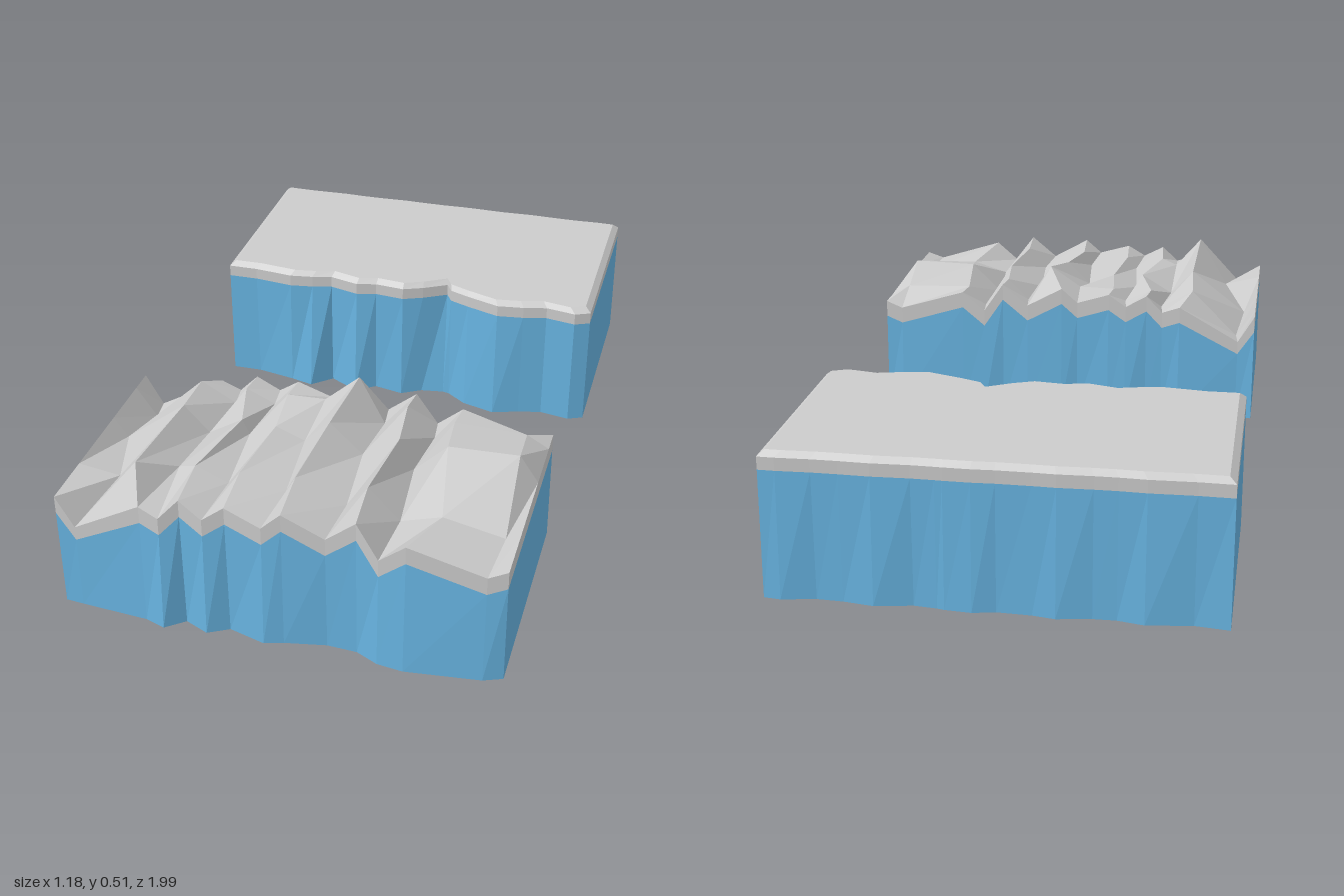
import * as THREE from 'three';

const ICE = 0x67b3e0, SNOW = 0xcccccc;

// collects quads and makes one faceted mesh
function facetMesh(name, color, fill) {
  const pos = [];
  const quad = (a, b, c, d) => pos.push(...a, ...b, ...c, ...a, ...c, ...d);
  fill(quad);
  const geo = new THREE.BufferGeometry();
  geo.setAttribute('position', new THREE.Float32BufferAttribute(pos, 3));
  geo.computeVertexNormals();
  const mesh = new THREE.Mesh(geo, new THREE.MeshStandardMaterial({ color, flatShading: true }));
  mesh.name = name;
  return mesh;
}

// a layer has a front edge and a back edge, both running left to right
const layer = (xs, y, front, back) => ({
  front: xs.map((x, i) => [x, y(i), front(i)]),
  back: xs.map((x, i) => [x, y(i), back(i)]),
});

// wall around the block between two layers
function wall(quad, lo, hi) {
  const ring = l => [...l.front, ...[...l.back].reverse()];
  const a = ring(lo), b = ring(hi);
  a.forEach((p, i) => {
    const j = (i + 1) % a.length;
    quad(p, a[j], b[j], b[i]);
  });
}

// horizontal strip between two edges, facing up
function strip(quad, front, back) {
  for (let i = 0; i < front.length - 1; i++) quad(front[i], front[i + 1], back[i + 1], back[i]);
}

// gentle waves along the rear face
const wave = x => 0.009 * (1 + Math.cos((x + 0.4) * 26.7));

function jaggedBlock() {
  const g = new THREE.Group();
  g.name = 'jaggedIceBlock';
  const xs = [-0.59, -0.54, -0.355, -0.3, -0.25, -0.185, -0.13, -0.03, 0.02, 0.13, 0.21, 0.27, 0.34, 0.54, 0.59];
  const ys = [0.385, 0.3, 0.405, 0.385, 0.437, 0.4, 0.437, 0.405, 0.45, 0.39, 0.455, 0.367, 0.425, 0.365, 0.385];
  const zs = [0.955, 0.96, 0.975, 0.995, 0.955, 0.985, 0.955, 0.985, 0.97, 0.95, 0.955, 0.985, 0.995, 0.975, 0.955];
  const front = i => 0.955 + (zs[i] - 0.955) * 0.5;
  const back = i => 0.343 - wave(xs[i]) * 0.3;
  const base = layer(xs, () => 0.05, i => zs[i], i => 0.343 - wave(xs[i]));
  const iceTop = layer(xs, i => ys[i] - (i === 1 ? 0.04 : 0.05), front, back);
  const rim = layer(xs, i => ys[i], front, back);

  // inner snow rows run front to back, ridges meander sideways
  const inner = [0.8, 0.57, 0.41].map((z, r) => xs.map((x, i) => {
    const edge = i === 0 || i === xs.length - 1;
    const shift = edge ? 0 : [0.012, -0.01, 0.008][r] * (i % 2 ? 1 : -1);
    return [x + shift, ys[i], z];
  }));
  // single peaks and hollows: row, column, position
  [
    [0, 1, -0.48, 0.36, 0.79], [0, 2, -0.385, 0.487, 0.89], [0, 3, -0.31, 0.42, 0.79],
    [0, 12, 0.39, 0.4, 0.8], [1, 1, -0.55, 0.33, 0.57], [1, 2, -0.38, 0.46, 0.57],
    [1, 4, -0.215, 0.442, 0.57], [1, 8, 0.03, 0.475, 0.57], [1, 12, 0.35, 0.455, 0.57],
    [1, 13, 0.54, 0.46, 0.57], [2, 2, -0.39, 0.44, 0.41], [2, 8, 0.06, 0.51, 0.385],
    [2, 7, -0.03, 0.44, 0.41], [2, 13, 0.53, 0.42, 0.41],
  ].forEach(([r, c, x, y, z]) => { inner[r][c] = [x, y, z]; });

  g.add(facetMesh('ice', ICE, quad => {
    wall(quad, base, iceTop);
    strip(quad, base.back, base.front);
  }));
  g.add(facetMesh('snowCap', SNOW, quad => {
    wall(quad, iceTop, rim);
    const rows = [rim.front, ...inner, rim.back];
    for (let r = 0; r < rows.length - 1; r++) strip(quad, rows[r], rows[r + 1]);
    // close the short ends between the rim and the inner rows
    const last = xs.length - 1;
    for (let r = 1; r < rows.length - 2; r++) {
      quad(rows[0][last], rows[r][last], rows[r + 1][last], rows[4][last]);
      quad(rows[4][0], rows[r + 1][0], rows[r][0], rows[0][0]);
    }
  }));
  return g;
}

function flatBlock() {
  const g = new THREE.Group();
  g.name = 'flatIceBlock';
  const xs = [-0.59, -0.5, -0.38, -0.31, -0.25, -0.16, -0.1, -0.01, 0.05, 0.12, 0.14, 0.2, 0.3, 0.38, 0.45, 0.54, 0.585];
  const top = [-0.375, -0.375, -0.36, -0.37, -0.385, -0.36, -0.375, -0.365, -0.39, -0.43, -0.395, -0.37, -0.335, -0.345, -0.362, -0.345, -0.365];
  // the foot bulges out beyond the rim at a few columns
  const bulge = { 2: 0.01, 3: 0.04, 5: 0.025, 7: 0.01, 9: 0.03, 11: 0.02, 12: 0.015 };
  const back = i => -0.982 - wave(xs[i]) * 0.2;
  const base = layer(xs, () => 0, i => top[i] + (bulge[i] || 0), i => -0.982 - wave(xs[i]));
  const iceTop = layer(xs, () => 0.345, i => top[i], back);
  const rim = layer(xs, () => 0.38, i => top[i], back);
  const inset = xs.map(x => x * 0.97);
  const lid = layer(inset, () => 0.395, i => top[i] - 0.015, i => back(i) + 0.015);

  g.add(facetMesh('ice', ICE, quad => {
    wall(quad, base, iceTop);
    strip(quad, base.back, base.front);
  }));
  g.add(facetMesh('snowCap', SNOW, quad => {
    wall(quad, iceTop, rim);
    wall(quad, rim, lid);
    strip(quad, lid.front, lid.back);
  }));
  return g;
}

export function createModel() {
  const model = new THREE.Group();
  model.name = 'iceBlocks';
  model.add(jaggedBlock(), flatBlock());
  return model;
}
